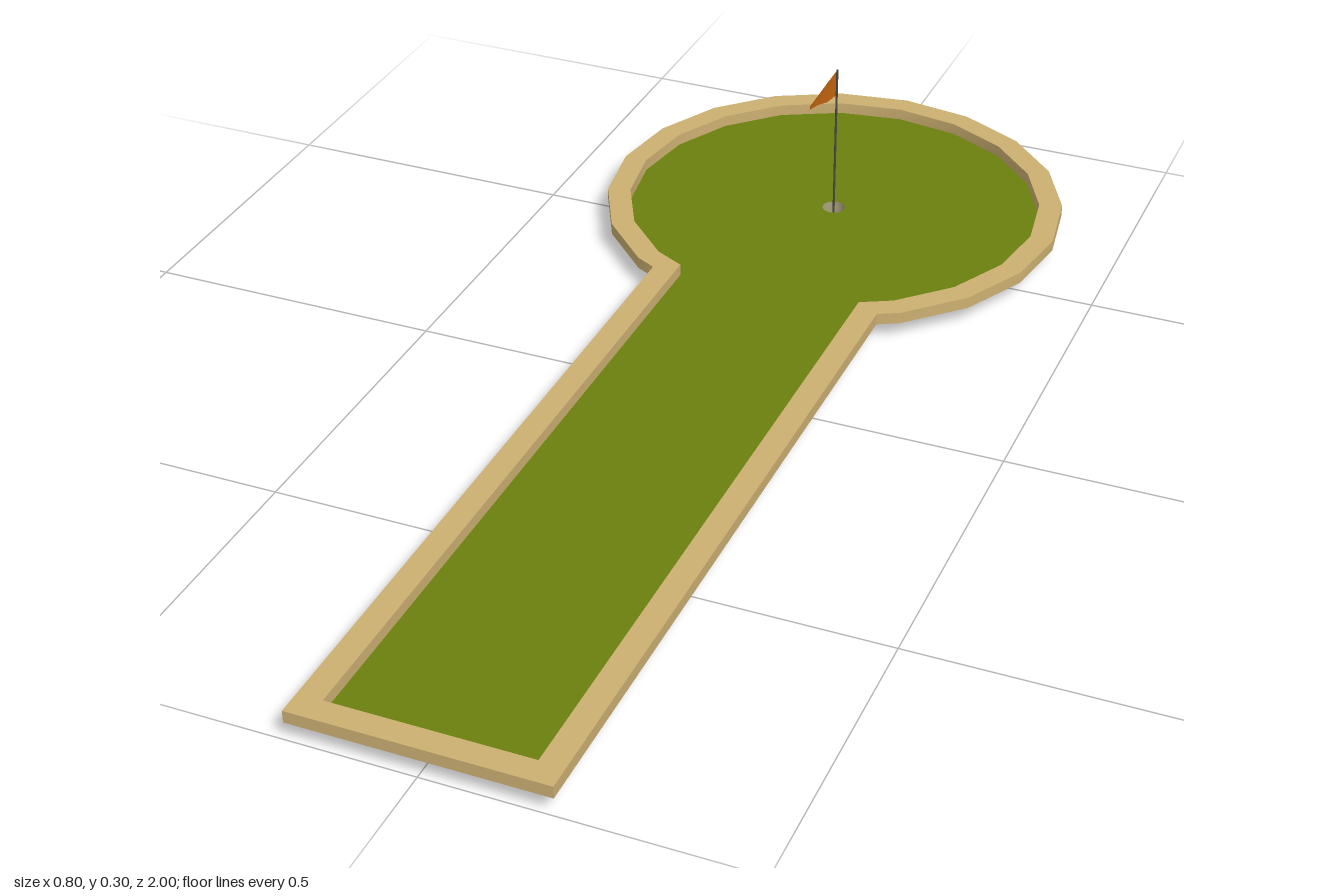
import * as THREE from 'three';
import { toCreasedNormals } from 'three/addons/utils/BufferGeometryUtils.js';

const FLOOR = 0.03, RIM = 0.05, HOLE_Z = -0.6, CUP_R = 0.02, SIDES = 20;

function material(name, color) {
  const m = new THREE.MeshStandardMaterial({ color, side: THREE.DoubleSide });
  m.name = name;
  return m;
}

// Keyhole plan, counter-clockwise, in (x, -z): straight lane joined to a round green
function outline(halfWidth, radius, joinZ, endZ) {
  const pts = [[halfWidth, -endZ], [halfWidth, -joinZ]];
  for (let i = -3; i <= 13; i++) {
    const a = (i / SIDES) * Math.PI * 2;
    pts.push([radius * Math.cos(a), -HOLE_Z + radius * Math.sin(a)]);
  }
  pts.push([-halfWidth, -joinZ], [-halfWidth, -endZ]);
  return pts.map(([x, y]) => new THREE.Vector2(x, y));
}

// Flat horizontal plate with a hole
function plate(points, holePoints, y) {
  const shape = new THREE.Shape(points);
  shape.holes.push(new THREE.Path(holePoints));
  return new THREE.ShapeGeometry(shape).rotateX(-Math.PI / 2).translate(0, y, 0);
}

// Upright wall along a closed outline, smooth round the arc and sharp at the corners
function wall(points, y0, y1) {
  const pos = [];
  points.forEach((a, i) => {
    const b = points[(i + 1) % points.length];
    pos.push(a.x, y0, -a.y, b.x, y0, -b.y, b.x, y1, -b.y);
    pos.push(a.x, y0, -a.y, b.x, y1, -b.y, a.x, y1, -a.y);
  });
  const g = new THREE.BufferGeometry();
  g.setAttribute('position', new THREE.Float32BufferAttribute(pos, 3));
  return toCreasedNormals(g, 0.6);
}

export function createModel() {
  const model = new THREE.Group();
  model.name = 'miniGolfLane';
  const wood = material('wood', 0xcdb072);
  const turf = material('turf', 0x6a800f);
  const cupMetal = material('cup', 0xaaa27c);
  const poleDark = material('pole', 0x4a4a44);
  const orange = material('flagOrange', 0xcb6a10);

  const add = (name, geometry, mat, parent = model) => {
    const mesh = new THREE.Mesh(geometry, mat);
    mesh.name = name;
    parent.add(mesh);
    return mesh;
  };

  const outer = outline(0.2, 0.4, -0.258, 1);
  const inner = outline(0.16, 0.36, -0.282, 0.96);

  // Wooden border: a channel open underneath
  const border = new THREE.Group();
  border.name = 'border';
  model.add(border);
  add('borderTop', plate(outer, inner, RIM), wood, border);
  add('borderOuterWall', wall(outer, FLOOR, RIM), wood, border);
  add('borderInnerWall', wall([...inner].reverse(), FLOOR, RIM), wood, border);

  // Playing surface with the hole cut out
  const rim = [];
  for (let i = 0; i < 16; i++) {
    const a = (i / 16) * Math.PI * 2;
    rim.push(new THREE.Vector2(CUP_R * Math.sin(a), -HOLE_Z + CUP_R * Math.cos(a)));
  }
  add('turf', plate(inner, rim, FLOOR), turf);

  // Cup below the hole
  const cup = new THREE.Group();
  cup.name = 'cup';
  cup.position.z = HOLE_Z;
  model.add(cup);
  add('cupWall', new THREE.CylinderGeometry(CUP_R, CUP_R, FLOOR, 16, 1, true)
    .translate(0, FLOOR / 2, 0), cupMetal, cup);
  add('cupBottom', new THREE.CircleGeometry(CUP_R, 16).rotateX(-Math.PI / 2), cupMetal, cup);

  // Pole standing in the cup
  add('pole', new THREE.CylinderGeometry(0.002, 0.002, 0.3, 8).translate(0, 0.15, HOLE_Z), poleDark);

  // Drooping pennant with a slight ripple
  const flagShape = new THREE.Shape([
    [0, 0.3], [-0.016, 0.274], [-0.032, 0.247], [-0.048, 0.221], [-0.049, 0.213],
    [-0.032, 0.228], [-0.016, 0.236], [0, 0.252],
  ].map(([x, y]) => new THREE.Vector2(x, y)));
  const flag = new THREE.ShapeGeometry(flagShape);
  const p = flag.attributes.position;
  for (let i = 0; i < p.count; i++) {
    p.setZ(i, HOLE_Z + 0.004 * Math.sin((-p.getX(i) / 0.049) * Math.PI));
  }
  flag.computeVertexNormals();
  add('flag', flag, orange);

  return model;
}
